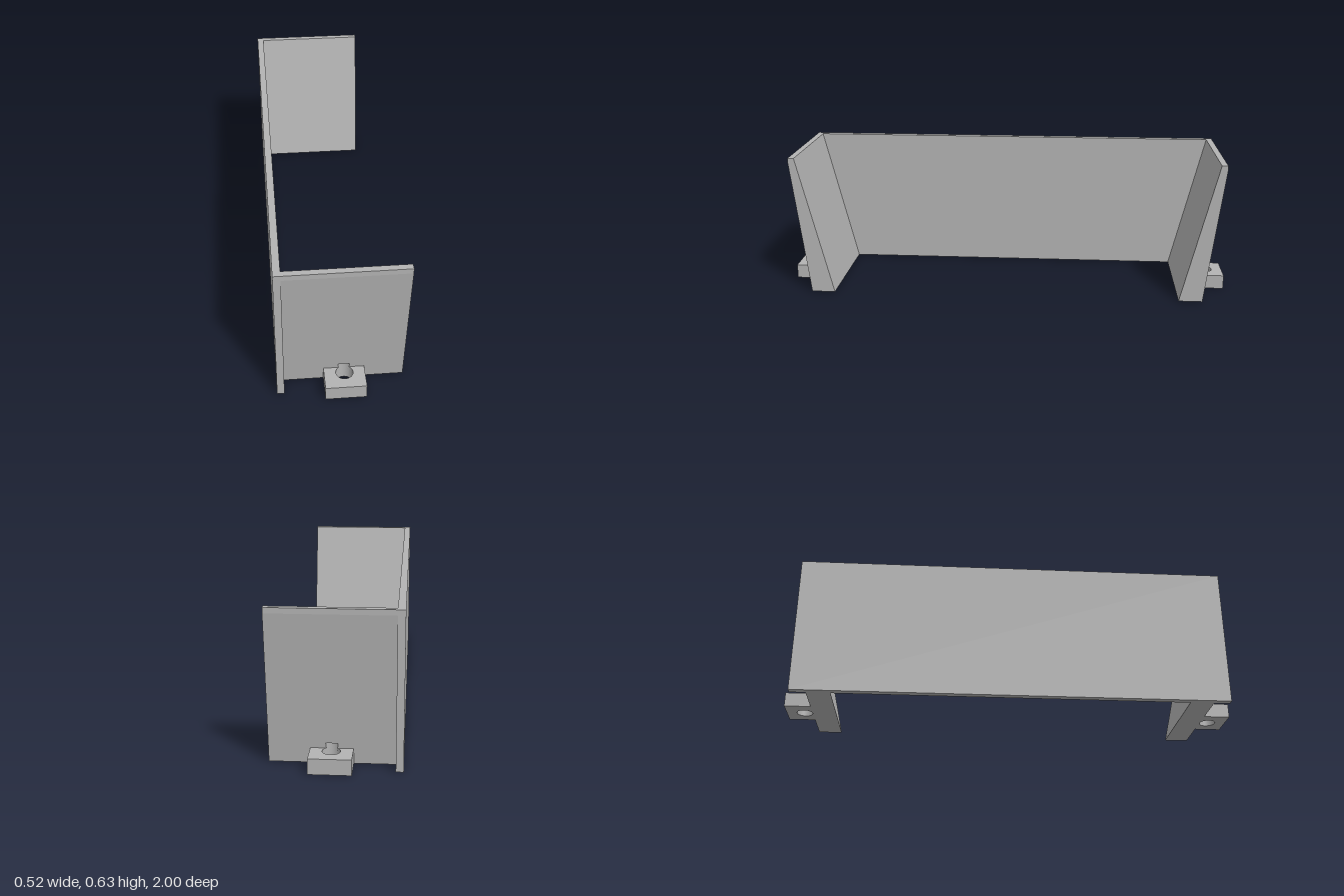
import * as THREE from 'three';

const HEIGHT = 0.627, LEFT = -0.26, INNER = -0.23, RIGHT = 0.26;
const END = 0.955;                 // outer z of the bracket
const LIP = 0.605;                 // the outer taper starts below this height
const NOTCH = 0.084;               // top of the screw pocket
const HOLE = { x: 0.015, z: 0.92, r: 0.035 };
const innerZ = y => 0.78 + 0.148 * y / HEIGHT;
const outerZ = y => 0.885 + 0.07 * y / LIP;

// Tapered upper part of an end wall, a z-y profile extruded along x
function upperWall() {
  const shape = new THREE.Shape([
    [innerZ(NOTCH), NOTCH], [outerZ(NOTCH), NOTCH], [END, LIP], [END, HEIGHT], [innerZ(HEIGHT), HEIGHT],
  ].map(p => new THREE.Vector2(...p)));
  return new THREE.ExtrudeGeometry(shape, { depth: RIGHT - INNER, bevelEnabled: false })
    .rotateY(-Math.PI / 2).translate(RIGHT, 0, 0);
}

// Foot of an end wall: stacked plan sections with a round pocket in the outer face
function lowerWall() {
  const arcSteps = 16, levels = [0, 0.01, 0.02, 0.042, 0.063, NOTCH];
  const rings = levels.map(y => {
    const zo = outerZ(y), half = Math.acos(Math.min(1, (HOLE.z - zo) / HOLE.r));
    const ring = [[INNER, y, innerZ(y)], [INNER, y, zo]];
    for (let i = 0; i <= arcSteps; i++) {
      const a = half * (2 * i / arcSteps - 1);
      ring.push([HOLE.x + HOLE.r * Math.sin(a), y, HOLE.z - HOLE.r * Math.cos(a)]);
    }
    ring.push([RIGHT, y, zo], [RIGHT, y, innerZ(y)]);
    return ring;
  });
  const pos = [], n = rings[0].length;
  const quad = (a, b, c, d) => pos.push(...a, ...b, ...c, ...a, ...c, ...d);
  for (let k = 0; k < levels.length - 1; k++) {
    for (let i = 0; i < n; i++) {
      const j = (i + 1) % n;
      quad(rings[k][i], rings[k][j], rings[k + 1][j], rings[k + 1][i]);
    }
  }
  const base = rings[0];
  quad(base[0], base[n - 1], base[n - 2], base[1]);
  const geo = new THREE.BufferGeometry();
  geo.setAttribute('position', new THREE.Float32BufferAttribute(pos, 3));
  geo.computeVertexNormals();
  return geo;
}

// Screw tab with a vertical through hole
function screwTab() {
  const x0 = -0.068, x1 = 0.098, z0 = 0.875, z1 = 1;
  const shape = new THREE.Shape([[x0, -z1], [x1, -z1], [x1, -z0], [x0, -z0]].map(p => new THREE.Vector2(...p)));
  const hole = new THREE.Path();
  hole.absarc(HOLE.x, -HOLE.z, HOLE.r, 0, Math.PI * 2, true);
  shape.holes.push(hole);
  return new THREE.ExtrudeGeometry(shape, { depth: 0.063, bevelEnabled: false, curveSegments: 32 })
    .rotateX(-Math.PI / 2);
}

// Mirror front to back, reversing the corner order
function mirrorZ(source) {
  const geo = source.index ? source.toNonIndexed() : source.clone();
  const p = geo.attributes.position, v = new THREE.Vector3(), w = new THREE.Vector3();
  for (let i = 0; i < p.count; i++) p.setZ(i, -p.getZ(i));
  for (let i = 0; i < p.count; i += 3) {
    v.fromBufferAttribute(p, i + 1);
    w.fromBufferAttribute(p, i + 2);
    p.setXYZ(i + 1, w.x, w.y, w.z);
    p.setXYZ(i + 2, v.x, v.y, v.z);
  }
  geo.computeVertexNormals();
  return geo;
}

export function createModel() {
  const model = new THREE.Group();
  model.name = 'bracket';
  const grey = new THREE.MeshStandardMaterial({ color: 0xb3b3b3 });
  grey.name = 'grey';
  const add = (parent, name, geo) => {
    const mesh = new THREE.Mesh(geo, grey);
    mesh.name = name;
    parent.add(mesh);
  };

  // Long side panel
  add(model, 'sidePanel', new THREE.BoxGeometry(INNER - LEFT, HEIGHT, END * 2)
    .translate((LEFT + INNER) / 2, HEIGHT / 2, 0));

  // Matching ends
  const parts = { endWall: upperWall(), endWallFoot: lowerWall(), screwTab: screwTab() };
  for (const side of ['front', 'back']) {
    const end = new THREE.Group();
    end.name = side + 'End';
    for (const [name, geo] of Object.entries(parts)) add(end, name, side === 'front' ? geo : mirrorZ(geo));
    model.add(end);
  }
  return model;
}
